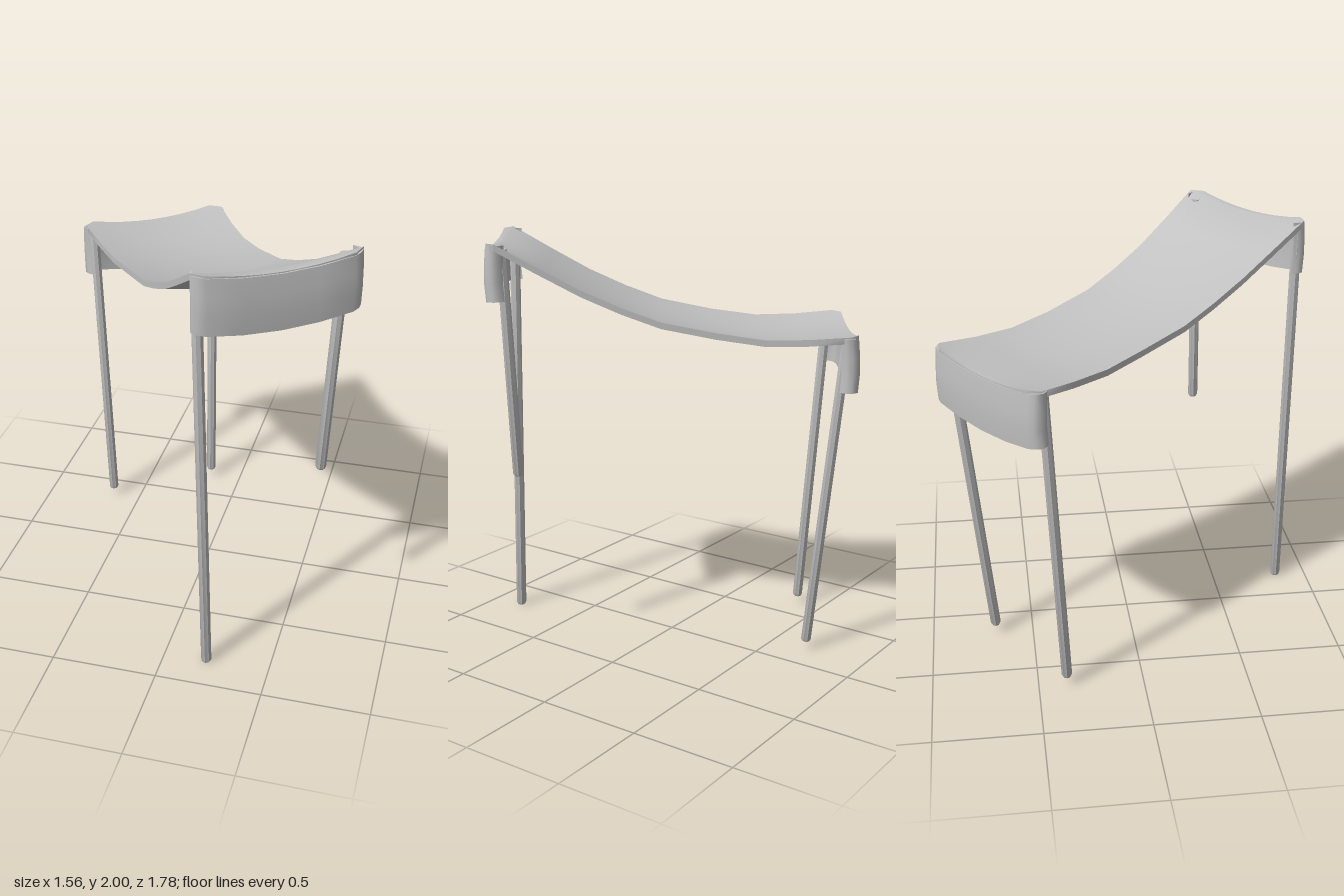
import * as THREE from 'three';
import { toCreasedNormals } from 'three/addons/utils/BufferGeometryUtils.js';

// The awning lies diagonally: u runs along its length, v across it.
const ANGLE = 0.611;
const S = Math.sin(ANGLE), C = Math.cos(ANGLE);
const place = (u, y, v) => [u * S + v * C, y, u * C - v * S];

// Closed thick sheet between an outer and an inner grid of points.
function sheet(rows, cols, outer, inner) {
  const pos = [], index = [];
  for (const fn of [outer, inner])
    for (let i = 0; i < rows; i++)
      for (let j = 0; j < cols; j++) pos.push(...fn(i, j));
  const n = rows * cols;
  const quad = (a, b, c, d) => index.push(a, b, c, a, c, d);
  for (let i = 0; i < rows - 1; i++)
    for (let j = 0; j < cols - 1; j++) {
      const a = i * cols + j, b = a + cols;
      quad(a, b, b + 1, a + 1);
      quad(n + a, n + a + 1, n + b + 1, n + b);
    }
  // rim
  const rim = (a, b) => quad(a, b, n + b, n + a);
  for (let j = 0; j < cols - 1; j++) {
    rim(j, j + 1);
    rim((rows - 1) * cols + j + 1, (rows - 1) * cols + j);
  }
  for (let i = 0; i < rows - 1; i++) {
    rim((i + 1) * cols, i * cols);
    rim(i * cols + cols - 1, (i + 1) * cols + cols - 1);
  }
  const geo = new THREE.BufferGeometry();
  geo.setAttribute('position', new THREE.Float32BufferAttribute(pos, 3));
  geo.setIndex(index);
  return toCreasedNormals(geo, 1.0);
}

export function createModel() {
  const group = new THREE.Group();
  const grey = new THREE.MeshStandardMaterial({ color: 0xc0c0c0 });
  const add = (name, geo) => {
    const mesh = new THREE.Mesh(geo, grey);
    mesh.name = name;
    group.add(mesh);
    return mesh;
  };

  // Sagging roof cloth: [u, half width, edge height]
  const ribs = [
    [-0.85, 0.318, 1.575], [-0.81, 0.37, 1.575], [-0.62, 0.354, 1.56], [-0.42, 0.342, 1.557],
    [-0.2, 0.334, 1.588], [0.05, 0.338, 1.638], [0.23, 0.344, 1.705], [0.41, 0.352, 1.785],
    [0.6, 0.366, 1.888], [0.79, 0.382, 1.995], [0.83, 0.328, 1.992],
  ];
  const COLS = 9;
  const roof = (drop) => (i, j) => {
    const [u, w, y] = ribs[i];
    const t = (2 * j) / (COLS - 1) - 1;
    return place(u, y - 0.034 * (1 - t * t) - drop, w * t);
  };
  add('roofCloth', sheet(ribs.length, COLS, roof(0), roof(0.03)));

  // Hanging end flaps that wrap around the corners
  const path = [
    [0.765, -0.372], [0.795, -0.38], [0.82, -0.358], [0.833, -0.325], [0.837, -0.17], [0.838, 0],
    [0.837, 0.17], [0.833, 0.325], [0.82, 0.358], [0.795, 0.38], [0.765, 0.372],
  ];
  const flap = (side, top, shift, inset) => (i, j) => {
    const [u, v] = path[j];
    const k = 1 - Math.min(1, (v / 0.37) ** 2);
    const bulge = [0, 0.008, 0.01, 0.004][i];
    return place(side * (u + shift + bulge - inset), top - 0.034 * k - i * 0.084,
      side * v * (1 - inset * 2.4));
  };
  for (const [name, side, top, shift] of [['frontFlap', 1, 1.987, 0], ['backFlap', -1, 1.568, 0.017]])
    add(name, sheet(4, path.length, flap(side, top, shift, 0), flap(side, top, shift, 0.02)));

  // Slanted poles with blunt feet
  const poles = [
    ['frontRightPole', [0.162, 1.965, 0.84], [0.203, 0, 0.84]],
    ['frontLeftPole', [0.695, 1.965, 0.445], [0.635, 0.895, 0.44]],
    ['backRightPole', [-0.722, 1.55, -0.445], [-0.645, 0.045, -0.365]],
    ['backLeftPole', [-0.197, 1.55, -0.835], [-0.165, 0.045, -0.685]],
  ];
  for (const [name, head, foot] of poles) {
    const a = new THREE.Vector3(...foot), b = new THREE.Vector3(...head);
    const dir = b.clone().sub(a), len = dir.length();
    const profile = [[0, 0], [0.018, 0], [0.025, 0.012], [0.025, len], [0, len]]
      .map(([r, y]) => new THREE.Vector2(r, y));
    const pole = add(name, toCreasedNormals(new THREE.LatheGeometry(profile, 8), 0.5));
    pole.position.copy(a);
    pole.quaternion.setFromUnitVectors(new THREE.Vector3(0, 1, 0), dir.normalize());
  }
  return group;
}
